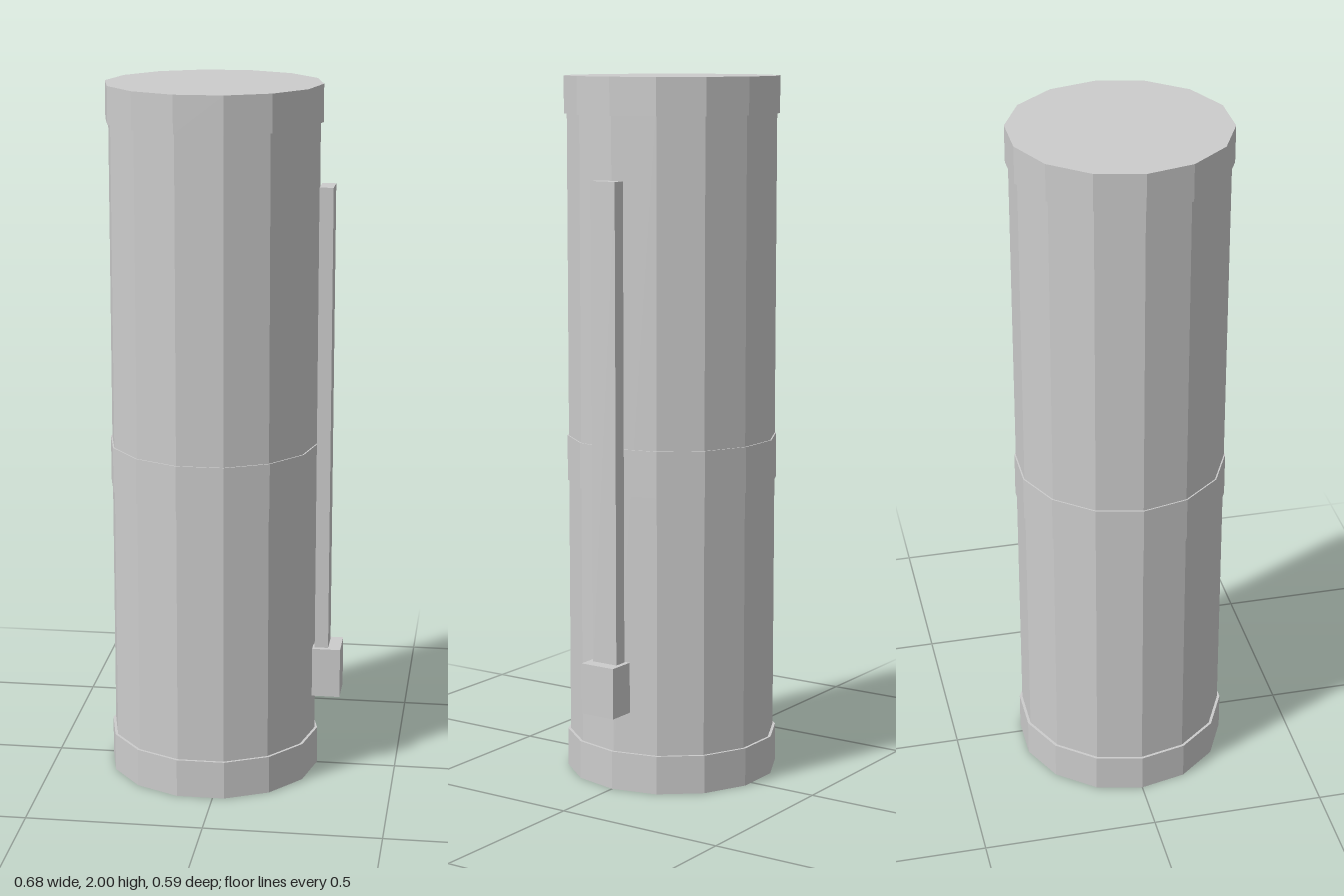
import * as THREE from 'three';

export function createModel() {
  const group = new THREE.Group();
  const grey = new THREE.MeshStandardMaterial({ color: 0xcccccc, flatShading: true });
  grey.name = 'light grey';
  const SIDES = 14;
  const AXIS_X = -0.035;

  function add(name, geometry, x, y, z = 0) {
    const mesh = new THREE.Mesh(geometry, grey);
    mesh.name = name;
    mesh.position.set(x, y, z);
    group.add(mesh);
  }

  // Solid faceted drum between two heights, with a corner pointing along +x
  function drum(name, radius, y0, y1) {
    const geometry = new THREE.CylinderGeometry(radius, radius, y1 - y0, SIDES, 1, false, Math.PI / 2);
    add(name, geometry, AXIS_X, (y0 + y1) / 2);
  }

  // Box given by its x and y ranges and its depth
  function block(name, x0, x1, y0, y1, depth) {
    add(name, new THREE.BoxGeometry(x1 - x0, y1 - y0, depth), (x0 + x1) / 2, (y0 + y1) / 2);
  }

  // Main cylinder with its raised middle band and top cap
  drum('body', 0.297, 0.095, 1.95);
  drum('middleBand', 0.301, 0.85, 0.98);
  drum('topCap', 0.305, 1.895, 2);

  // Hollow collar that leaves a shallow recess underneath
  const collar = [[0.287, 0.11], [0.287, 0], [0.305, 0], [0.305, 0.11], [0.287, 0.11]]
    .map(([r, y]) => new THREE.Vector2(r, y));
  add('bottomCollar', new THREE.LatheGeometry(collar, SIDES, Math.PI / 2), AXIS_X, 0);

  // Long side rail ending in a small block
  block('sideRail', 0.264, 0.303, 0.37, 1.72, 0.08);
  block('railBlock', 0.258, 0.339, 0.23, 0.375, 0.108);

  return group;
}
